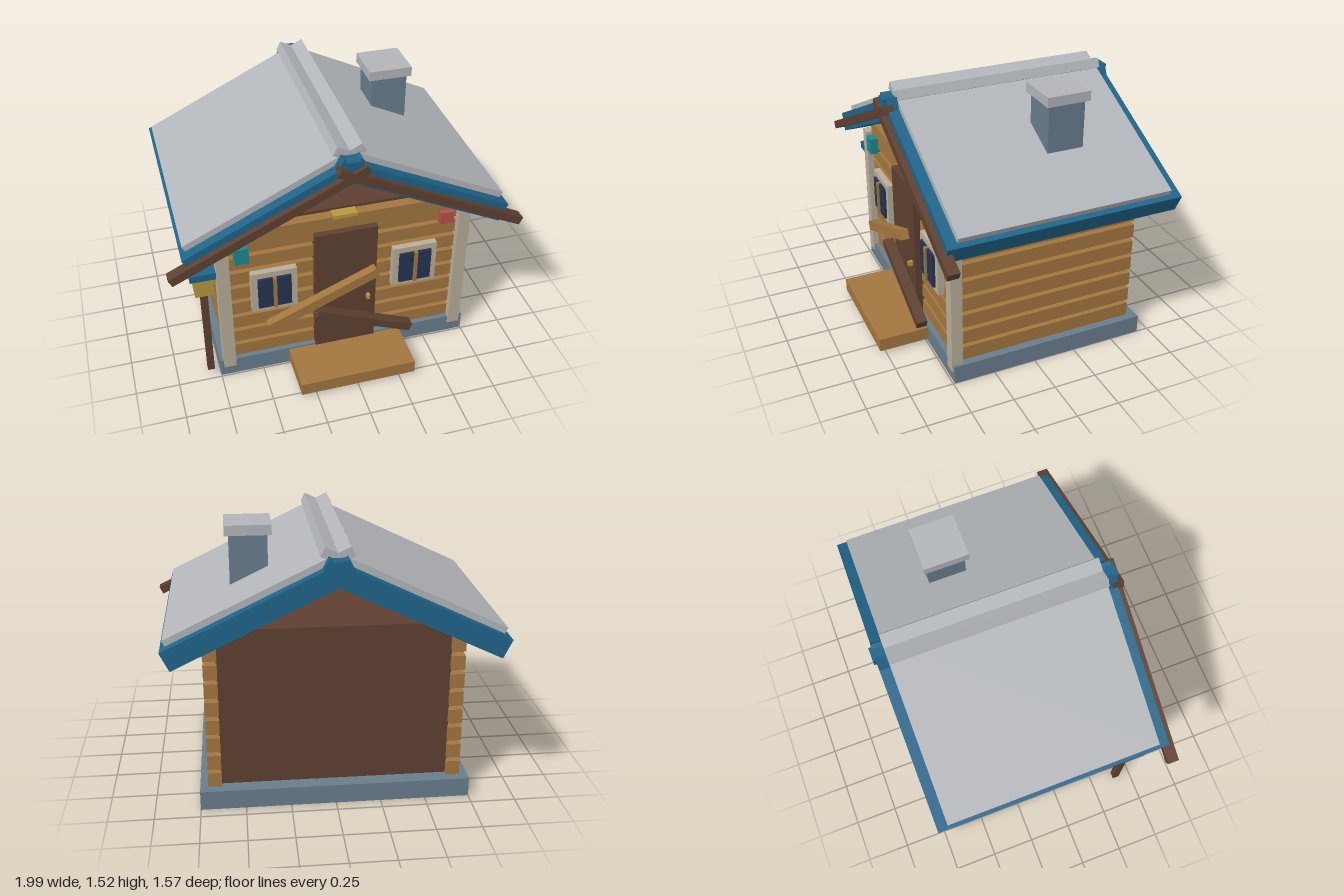
import * as THREE from 'three';

const mat = (color) => new THREE.MeshStandardMaterial({ color, flatShading: true });
const M = {
  log: mat(0xa2763f), dark: mat(0x5e4030), stone: mat(0x687d8c), cream: mat(0xb8ae9a),
  blue: mat(0x1f6488), grey: mat(0xb2b5b9), glass: mat(0x24344f), yellow: mat(0xb6983c),
  teal: mat(0x1b898d), red: mat(0xb65245),
};

export function createModel() {
  const root = new THREE.Group();
  root.name = 'logCabin';

  // box given by its extents on each axis
  const box = (name, m, x0, x1, y0, y1, z0, z1, parent = root) => {
    const mesh = new THREE.Mesh(new THREE.BoxGeometry(x1 - x0, y1 - y0, z1 - z0), m);
    mesh.position.set((x0 + x1) / 2, (y0 + y1) / 2, (z0 + z1) / 2);
    mesh.name = name;
    parent.add(mesh);
    return mesh;
  };

  // mirrored pair of sloping slabs that cross at the ridge
  // top surface runs from x = xa to x = xb, at height yRidge over x = 0
  const slope = 0.483, pitch = Math.atan(slope);
  const slabPair = (name, m, xa, xb, yRidge, t, z0, z1) => {
    const length = (xb - xa) / Math.cos(pitch);
    const xm = (xa + xb) / 2;
    for (const side of [1, -1]) {
      const mesh = new THREE.Mesh(new THREE.BoxGeometry(length, t, z1 - z0), m);
      mesh.position.set(
        side * (xm - Math.sin(pitch) * t / 2),
        yRidge - slope * xm - Math.cos(pitch) * t / 2,
        (z0 + z1) / 2
      );
      mesh.rotation.z = -side * pitch;
      mesh.name = name;
      root.add(mesh);
    }
  };

  // foundation, wall core and doorstep
  box('foundation', M.stone, -0.75, 0.75, 0, 0.11, -0.68, 0.49);
  box('wallCore', M.dark, -0.635, 0.635, 0.1, 1.02, -0.595, 0.405);
  box('doorstep', M.log, -0.34, 0.34, 0.02, 0.1, 0.49, 0.785);

  // logs along the front and both sides
  for (let i = 0; i < 8; i++) {
    const y = 0.11 + i * 0.107;
    box('frontLog', M.log, -0.665, 0.665, y, y + 0.081, 0.39, 0.46);
    box('leftLog', M.log, 0.63, 0.705, y, y + 0.083, -0.625, 0.435);
    box('rightLog', M.log, -0.705, -0.63, y, y + 0.083, -0.625, 0.435);
  }
  box('frontBeam', M.log, -0.66, 0.66, 0.925, 1.003, 0.39, 0.465);
  box('beamPlate', M.yellow, -0.07, 0.07, 0.99, 1.012, 0.41, 0.47);

  // corner posts
  for (const s of [1, -1]) {
    box('cornerPost', M.cream, s * 0.695 - 0.036, s * 0.695 + 0.036, 0.065, 0.93, 0.433, 0.498);
  }

  // door with knob and two boards nailed across it
  box('door', M.dark, -0.18, 0.18, 0.1, 0.915, 0.41, 0.498);
  box('doorKnob', M.yellow, 0.122, 0.14, 0.412, 0.44, 0.495, 0.525);
  box('upperBoard', M.log, -0.493, 0.193, 0.483, 0.541, 0.525, 0.575).rotation.z = 0.408;
  box('lowerBoard', M.dark, -0.21, 0.41, 0.262, 0.312, 0.512, 0.573).rotation.z = -0.402;

  // windows
  for (const x of [-0.415, 0.41]) {
    const win = new THREE.Group();
    win.name = 'window';
    root.add(win);
    box('windowFrame', M.cream, x - 0.131, x + 0.131, 0.455, 0.725, 0.44, 0.498, win);
    box('windowGlass', M.glass, x - 0.095, x + 0.095, 0.487, 0.69, 0.49, 0.513, win);
    box('windowBar', M.log, x - 0.01, x + 0.01, 0.485, 0.695, 0.495, 0.525, win);
  }

  // small lamps under the eaves
  box('tealLamp', M.teal, -0.628, -0.55, 0.825, 0.925, 0.45, 0.51);
  box('redLamp', M.red, 0.55, 0.63, 0.85, 0.925, 0.45, 0.498);

  // box on a pole beside the house
  box('pole', M.dark, -0.82, -0.78, 0, 0.61, 0.39, 0.43);
  box('poleBox', M.yellow, -0.852, -0.746, 0.605, 0.732, 0.36, 0.46);
  box('poleBoxLid', M.blue, -0.875, -0.73, 0.73, 0.773, 0.34, 0.48);

  // roof layers, gable boards and ridge beam
  slabPair('roofPanel', M.blue, -0.05, 0.913, 1.416, 0.113, -0.77, 0.58);
  slabPair('roofCover', M.grey, -0.067, 0.9, 1.455, 0.055, -0.71, 0.52);
  slabPair('gableBoard', M.dark, -0.07, 0.997, 1.372, 0.048, 0.55, 0.615);
  box('ridgeBeam', M.blue, -0.04, 0.04, 1.375, 1.43, -0.785, 0.595);

  // chimney
  box('chimney', M.stone, 0.338, 0.546, 0.98, 1.47, -0.357, -0.143);
  box('chimneyCap', M.grey, 0.315, 0.568, 1.466, 1.522, -0.377, -0.123);

  return root;
}
